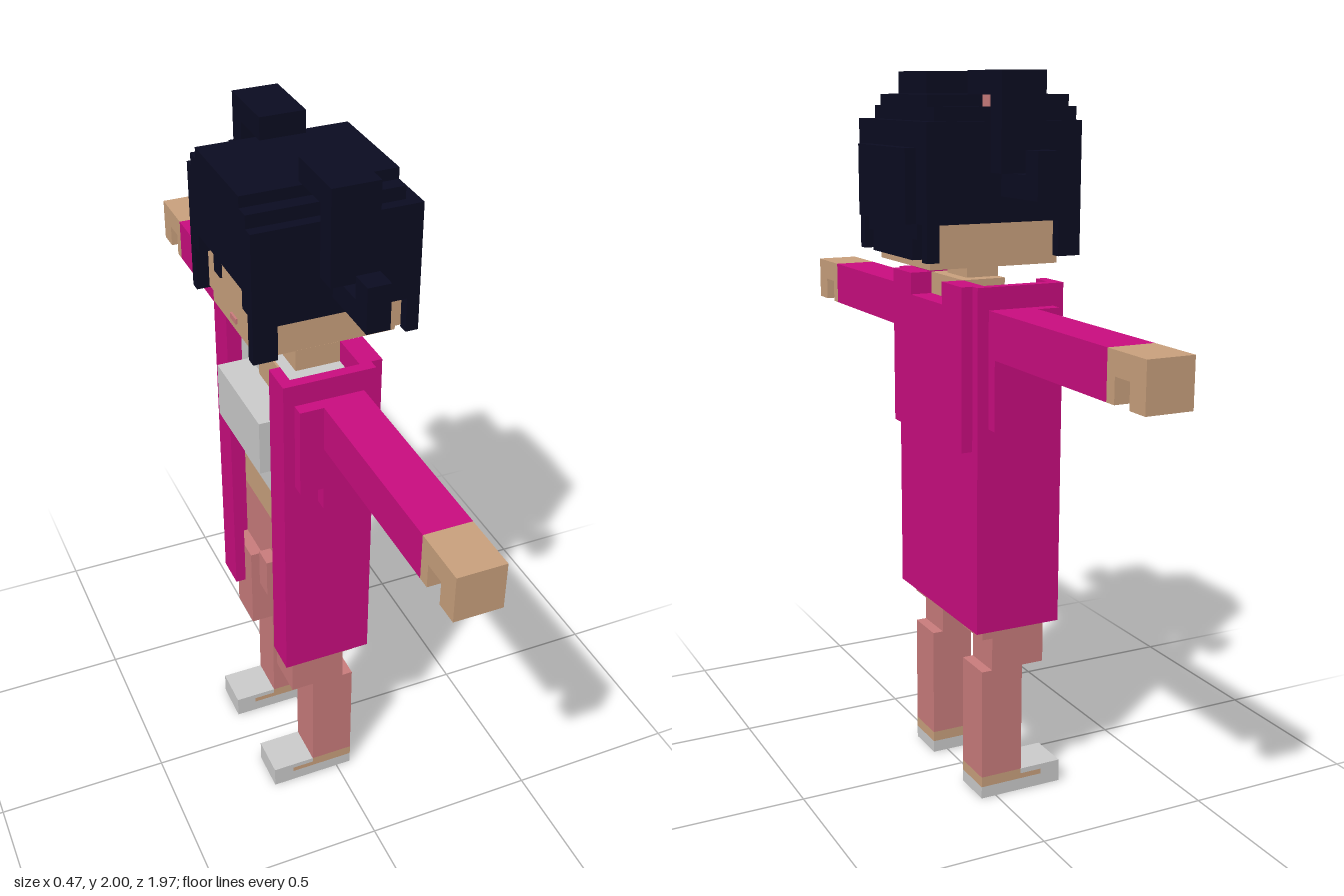
import * as THREE from 'three';

export function createModel() {
  const root = new THREE.Group();
  root.name = 'blockFigure';

  const material = (name, color) => {
    const m = new THREE.MeshStandardMaterial({ color });
    m.name = name;
    return m;
  };
  const pink = material('pinkCoat', 0xcb0d80);
  const skin = material('skin', 0xcba27e);
  const rose = material('roseTrousers', 0xcb7d7d);
  const white = material('whiteCloth', 0xcdcdcd);
  const hair = material('darkHair', 0x0b0c21);

  // Box from its lower and upper limits on x, y and z
  function box(name, mat, x0, x1, y0, y1, z0, z1) {
    const mesh = new THREE.Mesh(new THREE.BoxGeometry(x1 - x0, y1 - y0, z1 - z0), mat);
    mesh.position.set((x0 + x1) / 2, (y0 + y1) / 2, (z0 + z1) / 2);
    mesh.name = name;
    root.add(mesh);
  }
  // Box centred across z
  const mid = (name, mat, x0, x1, y0, y1, w) => box(name, mat, x0, x1, y0, y1, -w, w);
  // Box mirrored to both sides
  function pair(name, mat, x0, x1, y0, y1, z0, z1) {
    box(name + 'A', mat, x0, x1, y0, y1, z0, z1);
    box(name + 'B', mat, x0, x1, y0, y1, -z1, -z0);
  }

  // Feet and sandals
  pair('sandalSole', white, -0.205, 0.045, 0, 0.035, 0.1, 0.22);
  pair('sandalToe', white, -0.205, -0.145, 0.035, 0.065, 0.1, 0.22);
  pair('sandalStrap', white, -0.145, -0.08, 0.05, 0.065, 0.1, 0.22);
  pair('footFront', skin, -0.145, -0.08, 0.035, 0.05, 0.1, 0.22);
  pair('heel', skin, -0.08, 0.045, 0.035, 0.065, 0.1, 0.22);

  // Legs and hips
  pair('shin', rose, -0.08, 0.045, 0.065, 0.385, 0.1, 0.22);
  pair('thigh', rose, -0.145, 0.014, 0.385, 0.65, 0.1, 0.22);
  pair('thighBack', rose, 0.014, 0.045, 0.48, 0.65, 0.1, 0.22);
  mid('hips', rose, -0.11, 0.045, 0.6, 0.84, 0.22);
  mid('trouserFront', rose, -0.145, -0.11, 0.6, 0.72, 0.03);

  // Torso
  mid('midriff', skin, -0.11, 0.045, 0.84, 0.94, 0.22);
  mid('shirt', white, -0.11, 0.045, 0.94, 1.4, 0.22);
  mid('chestPocket', white, -0.205, -0.11, 1.145, 1.302, 0.155);
  [[1.365, 1.4, 0.13], [1.33, 1.365, 0.1], [1.29, 1.33, 0.07], [1.255, 1.29, 0.035]].forEach(
    ([y0, y1, w]) => mid('neckline', skin, -0.116, -0.11, y0, y1, w));
  mid('neckBase', skin, -0.08, 0.045, 1.4, 1.46, 0.1);
  mid('neck', skin, -0.08, 0.014, 1.46, 1.5, 0.06);

  // Open coat
  pair('coatSide', pink, -0.145, 0.045, 0.513, 1.46, 0.22, 0.25);
  pair('coatFront', pink, -0.175, -0.145, 0.513, 1.46, 0.155, 0.25);
  mid('coatBack', pink, 0.045, 0.077, 0.513, 1.4, 0.25);
  pair('collarBack', pink, 0.045, 0.077, 1.4, 1.46, 0.1, 0.25);
  mid('backYoke', pink, 0.077, 0.108, 1.02, 1.4, 0.22);
  pair('yokeShoulder', pink, 0.077, 0.108, 1.4, 1.46, 0.1, 0.22);

  // Sleeves
  pair('sleevePanel', pink, -0.145, 0.045, 1.15, 1.4, 0.25, 0.285);
  pair('sleevePanelTip', pink, -0.08, 0.045, 1.085, 1.15, 0.25, 0.285);
  pair('sleeve', pink, -0.08, 0.045, 1.275, 1.4, 0.285, 0.827);

  // Hands with a notch below
  pair('hand', skin, -0.08, 0.045, 1.34, 1.4, 0.827, 0.985);
  pair('palm', skin, -0.08, 0.045, 1.275, 1.34, 0.827, 0.86);
  pair('fingers', skin, -0.08, 0.045, 1.275, 1.34, 0.922, 0.985);

  // Head and face
  mid('chin', skin, -0.205, 0.17, 1.5, 1.53, 0.16);
  mid('head', skin, -0.205, 0.17, 1.53, 1.84, 0.19);
  pair('eye', hair, -0.211, -0.205, 1.605, 1.655, 0.085, 0.13);
  mid('mouth', rose, -0.211, -0.205, 1.525, 1.54, 0.02);

  // Stepped hair crown
  [[1.84, 1.875, 0.22, 0.205], [1.875, 1.91, 0.19, 0.17], [1.91, 1.94, 0.15, 0.17]].forEach(
    ([y0, y1, w, x1]) => mid('hairCrown', hair, -0.24, x1, y0, y1, w));
  // Side hair, front locks and stepped fringe
  pair('sideHair', hair, -0.175, 0.17, 1.62, 1.84, 0.19, 0.22);
  pair('frontLock', hair, -0.24, -0.175, 1.525, 1.84, 0.19, 0.22);
  mid('fringe', hair, -0.24, -0.205, 1.7, 1.84, 0.19);
  pair('fringeEdge', hair, -0.24, -0.205, 1.65, 1.7, 0.155, 0.19);
  // Back hair
  mid('backHair', hair, 0.17, 0.205, 1.62, 1.84, 0.19);
  pair('backLock', hair, 0.17, 0.205, 1.525, 1.84, 0.19, 0.22);
  mid('napeHair', hair, 0.17, 0.205, 1.525, 1.62, 0.13);
  pair('napeStep', hair, 0.17, 0.205, 1.58, 1.62, 0.13, 0.16);
  mid('backHairBulge', hair, 0.205, 0.235, 1.62, 1.81, 0.155);

  // Hair ties and hooked pigtails
  pair('hairTie', rose, -0.05, 0.015, 1.875, 1.94, 0.125, 0.19);
  pair('pigtailTop', hair, -0.08, 0.045, 1.94, 2, 0.125, 0.315);
  pair('pigtailDrop', hair, -0.08, 0.045, 1.75, 1.94, 0.255, 0.315);
  pair('pigtailBend', hair, -0.047, 0.014, 1.69, 1.75, 0.255, 0.445);
  pair('pigtailHook', hair, -0.047, 0.014, 1.75, 1.81, 0.382, 0.445);

  return root;
}
